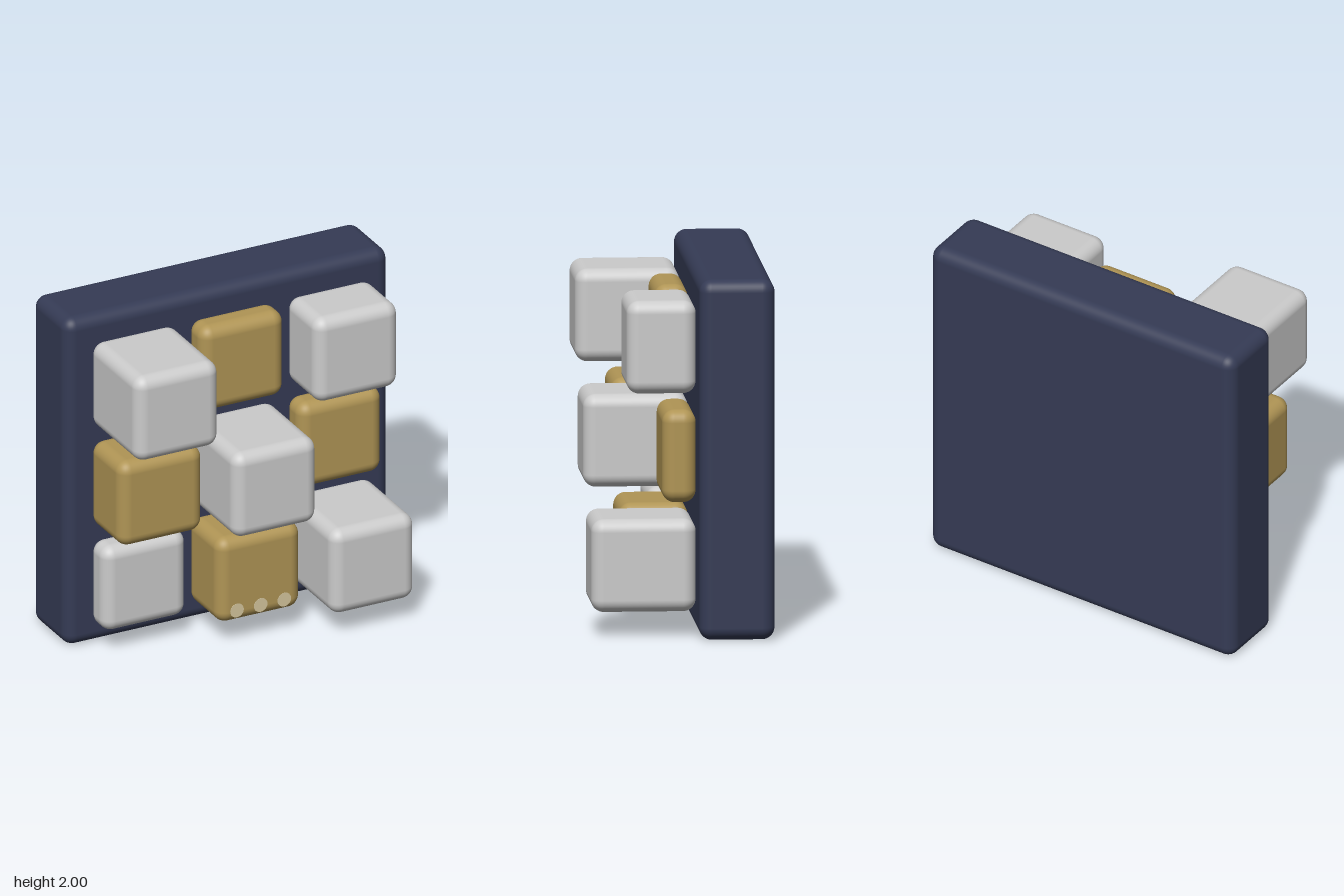
import * as THREE from 'three';
import { RoundedBoxGeometry } from 'three/addons/geometries/RoundedBoxGeometry.js';

export function createModel() {
  const model = new THREE.Group();
  const material = (color) => new THREE.MeshStandardMaterial({ color });
  const navy = material(0x353b55);
  const gold = material(0xb09555);
  const grey = material(0xcccccc);
  const cream = material(0xd6c79e);

  // Rounded block reaching from z = back to z = front
  function block(name, size, x, y, back, front, radius, mat) {
    const geometry = new RoundedBoxGeometry(size, size, front - back, 5, radius);
    const mesh = new THREE.Mesh(geometry, mat);
    mesh.name = name;
    mesh.position.set(x, y, (back + front) / 2);
    model.add(mesh);
  }

  // Upright backing slab
  block('backPanel', 2, 0, 1, -0.5, -0.085, 0.07, navy);

  // Grid of keys, checkered in colour, standing out by three different amounts
  const fronts = [
    [0.5, 0.11, 0.305], // top row, from -x to +x
    [0.305, 0.5, 0.11],
    [0.11, 0.305, 0.5],
  ];
  const rowNames = ['top', 'middle', 'bottom'];
  const columnNames = ['Right', 'Centre', 'Left'];
  const pitch = 0.605;
  fronts.forEach((row, r) => row.forEach((front, c) => {
    const mat = (r + c) % 2 ? gold : grey;
    block(`${rowNames[r]}${columnNames[c]}Key`, 0.516,
      (c - 1) * pitch, 1.003 - (r - 1) * pitch, -0.076, front, 0.07, mat);
  }));

  // Three small dots at the foot of the bottom centre key
  const dot = new THREE.CylinderGeometry(0.042, 0.042, 0.03, 24).rotateX(Math.PI / 2);
  for (const side of [-1, 0, 1]) {
    const mesh = new THREE.Mesh(dot, cream);
    mesh.name = 'dot';
    mesh.position.set(side * 0.146, 0.216, 0.291);
    model.add(mesh);
  }
  return model;
}
